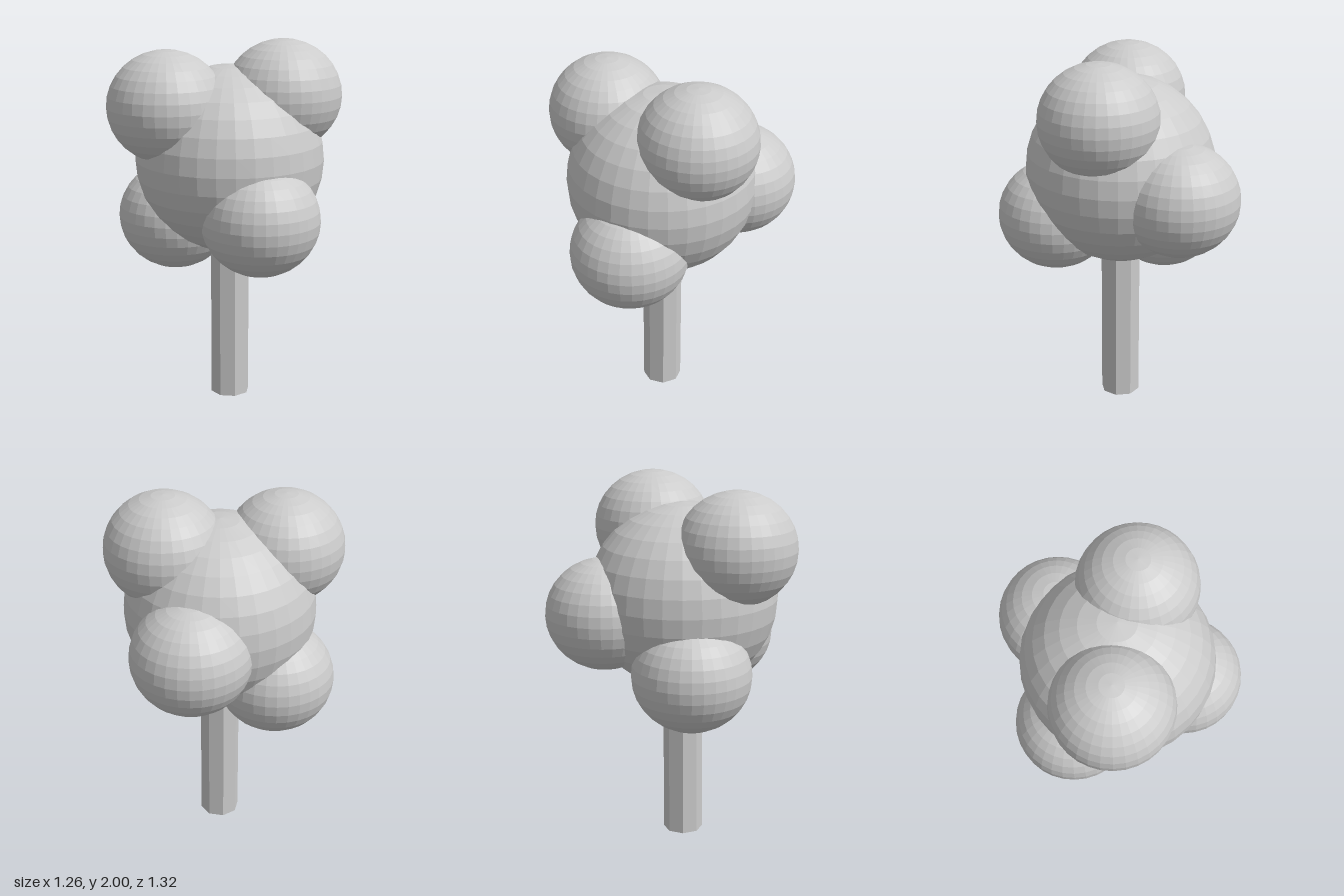
import * as THREE from 'three';

export function createModel() {
  const tree = new THREE.Group();
  tree.name = 'tree';
  const material = new THREE.MeshStandardMaterial({ color: 0xcccccc, flatShading: true });
  const ball = new THREE.SphereGeometry(1, 32, 16);

  const addFoliage = (name, [x, y, z], width, height) => {
    const mesh = new THREE.Mesh(ball, material);
    mesh.name = name;
    mesh.position.set(x, y, z);
    mesh.scale.set(width, height, width);
    tree.add(mesh);
  };

  // Octagonal trunk, its top hidden inside the crown
  const trunkHeight = 1.2;
  const trunk = new THREE.Mesh(
    new THREE.CylinderGeometry(0.108, 0.108, trunkHeight, 8, 1, false, Math.PI / 8), material);
  trunk.name = 'trunk';
  trunk.position.set(-0.035, trunkHeight / 2, 0);
  tree.add(trunk);

  // Large central crown
  addFoliage('crown', [-0.035, 1.358, 0], 0.512, 0.508);

  // Slightly flattened clumps around the crown
  const clumps = {
    upperFrontClump: [-0.135, 1.66, 0.343],
    upperBackClump: [0.12, 1.7, -0.243],
    lowerFrontRightClump: [-0.314, 1.01, 0.167],
    lowerLeftClump: [0.31, 1.09, 0.06],
    backRightClump: [-0.287, 1.285, -0.344],
  };
  for (const [name, position] of Object.entries(clumps)) addFoliage(name, position, 0.317, 0.3);

  return tree;
}
